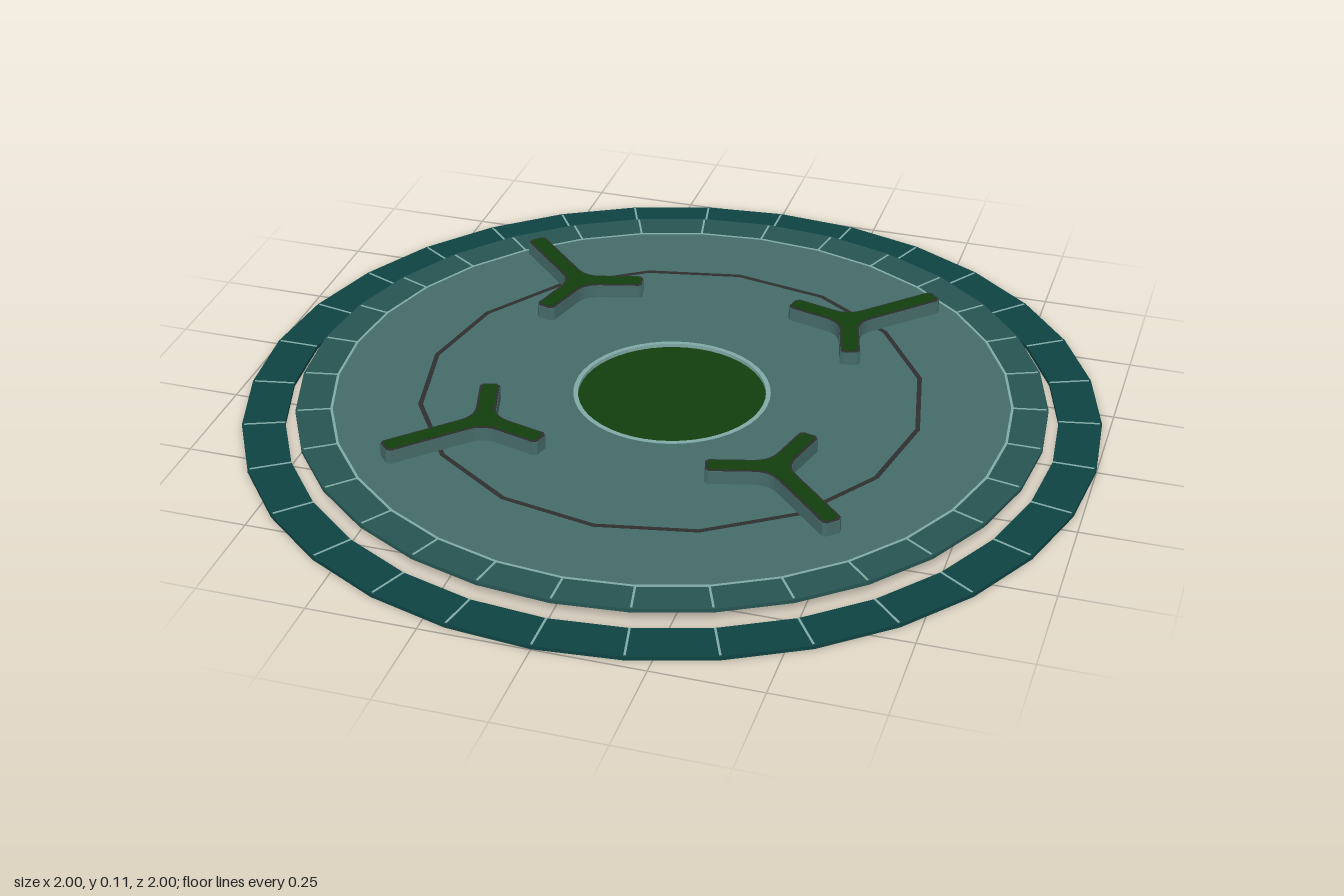
import * as THREE from 'three';

const mat = (color) => new THREE.MeshStandardMaterial({ color, side: THREE.DoubleSide });
const MATS = {
  outer: mat(0x0e4342), rim: mat(0x265452), disc: mat(0x456b69), seam: mat(0x7fa9a5),
  line: mat(0x2f2f2f), green: mat(0x123f0e),
};

// Regular polygon points with a corner on each axis
function polygon(radius, sides) {
  return Array.from({ length: sides }, (_, i) => {
    const a = (i / sides) * Math.PI * 2;
    return new THREE.Vector2(Math.cos(a) * radius, Math.sin(a) * radius);
  });
}

// Flat shape lifted from y0 to y1
function slab(name, shape, y0, y1, material) {
  const geo = new THREE.ExtrudeGeometry(shape, { depth: y1 - y0, bevelEnabled: false, curveSegments: 5 });
  geo.rotateX(-Math.PI / 2).translate(0, y0, 0);
  const mesh = new THREE.Mesh(geo, material);
  mesh.name = name;
  return mesh;
}

function ring(name, rOut, rIn, sides, y0, y1, material, innerSides = sides) {
  const shape = new THREE.Shape(polygon(rOut, sides));
  shape.holes.push(new THREE.Path(polygon(rIn, innerSides).reverse()));
  return slab(name, shape, y0, y1, material);
}

// Thin radial joints between the panels of a ring
function seams(name, rOut, rIn, count, y0, y1) {
  const group = new THREE.Group();
  group.name = name;
  const geo = new THREE.BoxGeometry(rOut - rIn, y1 - y0, 0.005);
  geo.translate((rOut + rIn) / 2, (y0 + y1) / 2, 0);
  for (let i = 0; i < count; i++) {
    const seam = new THREE.Mesh(geo, MATS.seam);
    seam.name = 'panelSeam';
    seam.rotation.y = (i / count) * Math.PI * 2;
    group.add(seam);
  }
  return group;
}

// Three-armed outline: long arm outward, filleted at the junction
function yShape(inset) {
  const w = 0.024 - inset, c = 0.008, f = 0.05, centre = 0.34;
  const arms = [[45, 0.247], [165, 0.156], [285, 0.156]]
    .map(([deg, len]) => ({ a: THREE.MathUtils.degToRad(deg), len: len - inset }));
  const at = (a, u, v) => [
    centre + Math.cos(a) * u - Math.sin(a) * v,
    centre + Math.sin(a) * u + Math.cos(a) * v,
  ];
  const shape = new THREE.Shape();
  shape.moveTo(...at(arms[0].a, f, -w));
  arms.forEach(({ a, len }, i) => {
    shape.lineTo(...at(a, len - c, -w));
    shape.lineTo(...at(a, len, -w + c));
    shape.lineTo(...at(a, len, w - c));
    shape.lineTo(...at(a, len - c, w));
    shape.lineTo(...at(a, f, w));
    const corner = at(a + Math.PI / 3, w / Math.sin(Math.PI / 3), 0);
    shape.quadraticCurveTo(...corner, ...at(arms[(i + 1) % 3].a, f, -w));
  });
  return shape;
}

export function createModel() {
  const model = new THREE.Group();
  model.name = 'landingPad';

  // Outer ring, separated from the pad by a gap
  model.add(ring('outerRing', 1, 0.9, 32, 0.001, 0.01, MATS.outer));
  model.add(seams('outerRingSeams', 0.995, 0.9, 32, 0, 0.011));

  // Raised pad with its panelled rim and round opening
  model.add(ring('padRim', 0.875, 0.79, 32, 0.031, 0.04, MATS.rim));
  model.add(seams('padRimSeams', 0.87, 0.79, 32, 0.0305, 0.041));
  model.add(ring('padDisc', 0.79, 0.225, 32, 0.031, 0.04, MATS.disc, 48));
  model.add(ring('padEdgeLine', 0.795, 0.789, 32, 0.0305, 0.041, MATS.seam));
  model.add(ring('markingLine', 0.592, 0.581, 16, 0.04, 0.041, MATS.line));
  model.add(ring('openingTrim', 0.231, 0.22, 48, 0.032, 0.041, MATS.seam));

  // Square light panel under the opening
  const light = new THREE.Mesh(new THREE.PlaneGeometry(0.462, 0.462).rotateX(-Math.PI / 2), MATS.green);
  light.name = 'centreLightPanel';
  light.position.y = 0.03;
  model.add(light);

  // Four raised three-armed lights
  for (let i = 0; i < 4; i++) {
    const lamp = new THREE.Group();
    lamp.name = 'threeArmedLight';
    lamp.add(slab('lightBody', yShape(0), 0.07, 0.103, MATS.disc));
    lamp.add(slab('lightBorder', yShape(0.001), 0.103, 0.1045, MATS.line));
    lamp.add(slab('lightTop', yShape(0.006), 0.1045, 0.106, MATS.green));
    lamp.rotation.y = (i * Math.PI) / 2;
    model.add(lamp);
  }
  return model;
}
